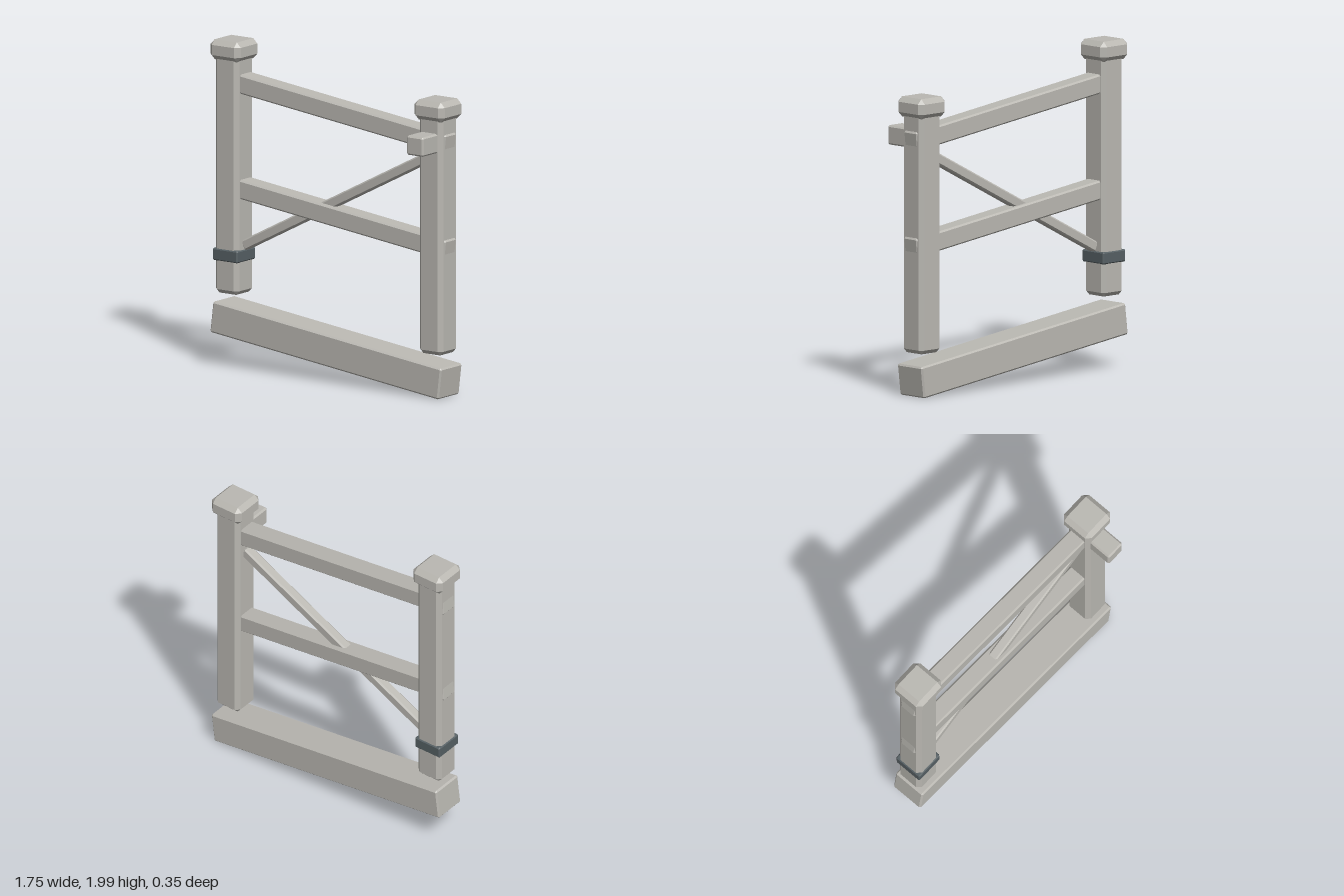
import * as THREE from 'three';
import { ConvexGeometry } from 'three/addons/geometries/ConvexGeometry.js';

const stone = new THREE.MeshStandardMaterial({ color: 0xbab8b2 });
stone.name = 'paleGrey';
const iron = new THREE.MeshStandardMaterial({ color: 0x566064 });
iron.name = 'darkSlate';

// Box with every edge and corner cut flat by c
function chamferBox(w, h, d, c) {
  const [x, y, z] = [w / 2, h / 2, d / 2];
  const points = [];
  for (const sx of [-1, 1]) for (const sy of [-1, 1]) for (const sz of [-1, 1]) {
    points.push(
      new THREE.Vector3(sx * x, sy * (y - c), sz * (z - c)),
      new THREE.Vector3(sx * (x - c), sy * y, sz * (z - c)),
      new THREE.Vector3(sx * (x - c), sy * (y - c), sz * z));
  }
  return new ConvexGeometry(points);
}

export function createModel() {
  const group = new THREE.Group();
  group.name = 'slopedFence';
  const Z = -0.062; // centre plane of the fence
  const SLOPE = -THREE.MathUtils.degToRad(6.85);

  function add(name, size, chamfer, position, angle = 0, material = stone) {
    const mesh = new THREE.Mesh(chamferBox(...size, chamfer), material);
    mesh.name = name;
    mesh.position.set(...position);
    mesh.rotation.z = angle;
    group.add(mesh);
  }

  // Sloping ground beam
  add('baseBeam', [1.72, 0.193, 0.215], 0.01, [0, 0.203, Z], SLOPE);

  // Two posts with caps, the right-hand one of the slope set lower
  for (const [side, x, bottom, capY] of [['right', -0.762, 0.45, 1.939], ['left', 0.762, 0.267, 1.758]]) {
    const top = capY - 0.02;
    add(side + 'Post', [0.175, top - bottom, 0.175], 0.025, [x, (top + bottom) / 2, Z]);
    add(side + 'PostCap', [0.225, 0.122, 0.225], 0.03, [x, capY, Z]);
  }

  // Parallel rails running through the posts
  add('upperRail', [1.718, 0.117, 0.117], 0.01, [0, 1.659, Z], SLOPE);
  add('lowerRail', [1.718, 0.117, 0.117], 0.01, [0, 1.015, Z], SLOPE);

  // Diagonal brace between the posts
  add('brace', [1.535, 0.063, 0.063], 0.009, [0.005, 1.1, Z], THREE.MathUtils.degToRad(27.3));

  // Dark band round the higher post
  add('postBand', [0.188, 0.075, 0.188], 0.008, [-0.762, 0.687, Z], 0, iron);

  // Peg standing out of the lower post
  add('peg', [0.125, 0.118, 0.19], 0.01, [0.76, 1.566, 0.076]);

  return group;
}
